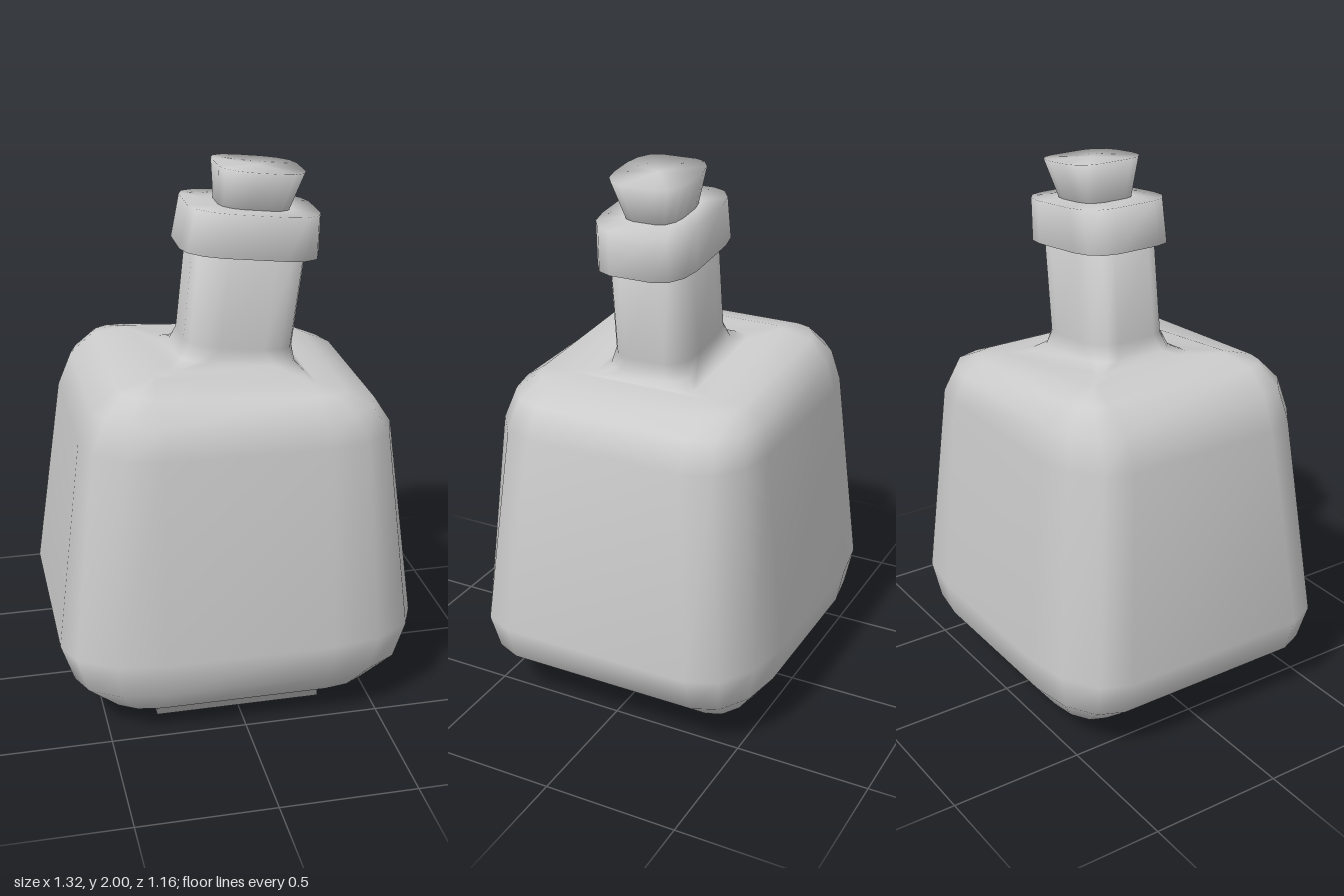
import * as THREE from 'three';
import { mergeVertices } from 'three/addons/utils/BufferGeometryUtils.js';

const CORNER = 3; // facets per rounded corner

// Rounded-rectangle ring that may tilt sideways:
// left edge (xl, yl), right edge (xr, yr), half depth hz, corner radii rx and rz
function ringPoints([xl, yl, xr, yr, hz, rx, rz]) {
  const cx = (xl + xr) / 2, hx = (xr - xl) / 2, points = [];
  for (let q = 0; q < 4; q++) {
    const sx = q === 0 || q === 3 ? 1 : -1, sz = q < 2 ? 1 : -1;
    for (let i = 0; i <= CORNER; i++) {
      const a = (q + i / CORNER) * Math.PI / 2;
      const x = cx + sx * (hx - rx) + rx * Math.cos(a);
      const z = sz * (hz - rz) + rz * Math.sin(a);
      points.push([x, yl + (yr - yl) * (x - xl) / (xr - xl), z]);
    }
  }
  return points;
}

// Skin a stack of rings from bottom to top and close both ends
function loft(name, rings, material) {
  const n = 4 * (CORNER + 1), last = rings.length - 1;
  const positions = rings.flatMap(r => ringPoints(r).flat()), index = [];
  for (let k = 0; k < last; k++) {
    for (let i = 0; i < n; i++) {
      const a = k * n + i, b = k * n + (i + 1) % n;
      index.push(a, a + n, b, b, a + n, b + n);
    }
  }
  for (const k of [0, last]) {
    const [xl, yl, xr, yr] = rings[k], c = positions.length / 3;
    positions.push((xl + xr) / 2, (yl + yr) / 2, 0);
    for (let i = 0; i < n; i++) {
      const a = k * n + i, b = k * n + (i + 1) % n;
      if (k) index.push(c, b, a); else index.push(c, a, b);
    }
  }
  let geometry = new THREE.BufferGeometry();
  geometry.setAttribute('position', new THREE.Float32BufferAttribute(positions, 3));
  geometry.setIndex(index);
  geometry = mergeVertices(geometry, 1e-4);
  geometry.computeVertexNormals();
  const mesh = new THREE.Mesh(geometry, material);
  mesh.name = name;
  return mesh;
}

export function createModel() {
  const group = new THREE.Group();
  group.name = 'bottle';
  const grey = new THREE.MeshStandardMaterial({ color: 0xcccccc });

  // Square foot, rounded belly, sloping shoulder and leaning neck
  const body = [[-0.31, 0, 0.31, 0, 0.365, 0, 0]];
  for (let i = 0; i <= 3; i++) {
    const a = i * Math.PI / 6, s = Math.sin(a), y = 0.34 - 0.28 * Math.cos(a);
    body.push([-0.31 - 0.35 * s, y, 0.31 + 0.35 * s, y, 0.365 + 0.213 * s, 0.35 * s, 0.213 * s]);
  }
  body.push(
    [-0.56, 1.1, 0.575, 1.09, 0.505, 0.27, 0.21],
    [-0.51, 1.22, 0.51, 1.19, 0.475, 0.23, 0.18],
    [-0.42, 1.295, 0.4, 1.238, 0.4, 0.12, 0.1],
    [-0.3, 1.32, 0.3, 1.25, 0.29, 0.02, 0.02],
    [-0.205, 1.308, 0.29, 1.25, 0.2, 0.05, 0.05],
    [-0.165, 1.325, 0.265, 1.275, 0.165, 0.09, 0.07],
    [-0.142, 1.38, 0.258, 1.33, 0.155, 0.12, 0.08],
    [-0.105, 1.73, 0.305, 1.68, 0.15, 0.12, 0.08],
  );
  group.add(loft('body', body, grey));

  // Thick lip around the mouth
  group.add(loft('lip', [
    [-0.11, 1.711, 0.305, 1.665, 0.15, 0.12, 0.08],
    [-0.155, 1.717, 0.35, 1.66, 0.182, 0.14, 0.1],
    [-0.125, 1.872, 0.355, 1.818, 0.182, 0.14, 0.1],
    [-0.02, 1.86, 0.26, 1.829, 0.105, 0.08, 0.06],
  ], grey));

  // Flared stopper
  group.add(loft('stopper', [
    [-0.008, 1.83, 0.24, 1.8, 0.098, 0.08, 0.06],
    [-0.012, 2.0, 0.302, 1.965, 0.146, 0.11, 0.08],
  ], grey));
  return group;
}
